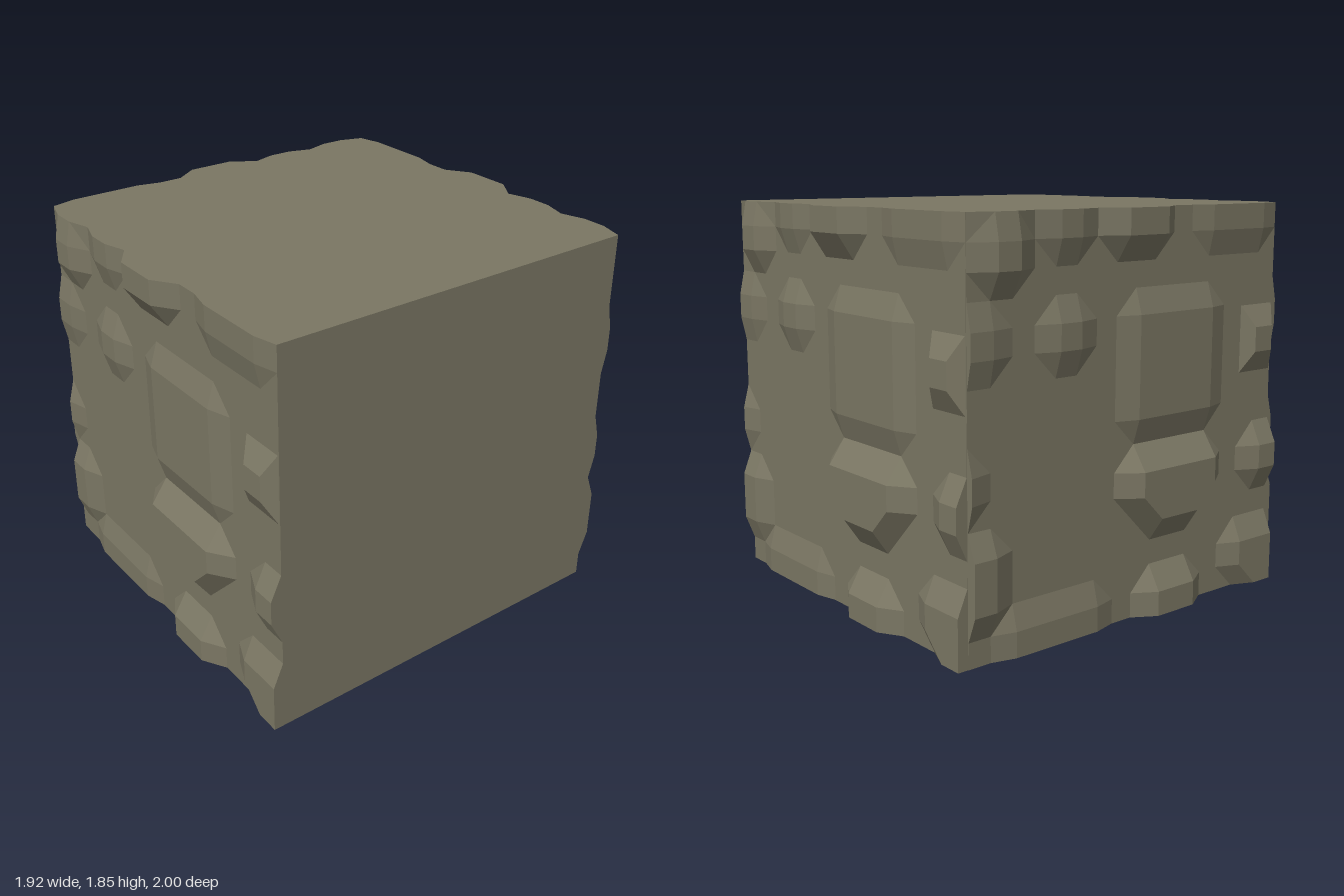
import * as THREE from 'three';

const W = 1.84, H = 1.85, N = 16;
const SX = W / N, SY = H / N;

// raised plateaus on the 16 x 16 grid: first column, last column, first row, last row, height
const BUMPS = [
  [1, 2, 14, 15, 0.058], [1, 2, 16, 16, 0.035],   // upper rim stones
  [4, 5, 15, 16, 0.035],
  [7, 9, 15, 16, 0.078],
  [12, 15, 15, 16, 0.027],
  [0, 1, 11, 12, 0.025], [4, 5, 11, 12, 0.036],   // middle stones
  [8, 12, 8, 12, 0.036],                          // broad slab
  [8, 12, 5, 6, 0.08], [9, 11, 4, 4, 0.08],       // large boulder
  [0, 0, 6, 7, 0.03], [0, 1, 2, 4, 0.045],
  [2, 6, 0, 1, 0.03], [9, 11, 0, 1, 0.068],       // lower rim stones
  [14, 16, 1, 2, 0.05], [15, 16, 0, 0, 0.05],
  [15, 16, 5, 6, 0.054],
];

function heightAt(i, j) {
  let h = 0;
  for (const [a, b, c, d, v] of BUMPS) {
    if (i >= a && i <= b && j >= c && j <= d) h = Math.max(h, v);
  }
  return h;
}

// rocky relief facing +z, with side skirts down to z = 0
function reliefGeometry() {
  const pos = [];
  const lift = 0.002;
  const top = (i, j) => [i * SX - W / 2, j * SY, heightAt(i, j) + lift];
  const foot = (i, j) => [i * SX - W / 2, j * SY, 0];
  const tri = (a, b, c) => pos.push(...a, ...b, ...c);
  const quad = (a, b, c, d) => { tri(a, b, c); tri(a, c, d); };
  for (let j = 0; j < N; j++) {
    for (let i = 0; i < N; i++) {
      const a = top(i, j), b = top(i + 1, j), c = top(i + 1, j + 1), d = top(i, j + 1);
      // split along the flatter diagonal so that corners are chamfered
      if (Math.abs(a[2] - c[2]) <= Math.abs(b[2] - d[2])) quad(a, b, c, d);
      else quad(b, c, d, a);
    }
  }
  for (let k = 0; k < N; k++) {
    quad(foot(k, 0), foot(k + 1, 0), top(k + 1, 0), top(k, 0));
    quad(top(k, N), top(k + 1, N), foot(k + 1, N), foot(k, N));
    quad(foot(0, k), top(0, k), top(0, k + 1), foot(0, k + 1));
    quad(top(N, k), foot(N, k), foot(N, k + 1), top(N, k + 1));
  }
  const g = new THREE.BufferGeometry();
  g.setAttribute('position', new THREE.Float32BufferAttribute(pos, 3));
  g.computeVertexNormals();
  return g;
}

// bevelled stone: a box with its outer face pulled in
function knobGeometry() {
  const g = new THREE.BoxGeometry(2 * SX, 3 * SY, 0.06).toNonIndexed();
  const p = g.attributes.position;
  for (let i = 0; i < p.count; i++) {
    if (p.getZ(i) > 0) p.setXY(i, p.getX(i) * 0.5, p.getY(i) * 0.34);
  }
  g.computeVertexNormals();
  return g;
}

export function createModel() {
  const stone = new THREE.MeshStandardMaterial({ color: 0x7a7663 });
  stone.name = 'stone';

  const model = new THREE.Group();
  model.name = 'rockBlock';
  const block = new THREE.Group();
  block.name = 'block';
  block.position.x = 0.0375;
  model.add(block);

  // plain core
  const core = new THREE.Mesh(new THREE.BoxGeometry(W, H, W), stone);
  core.name = 'core';
  core.position.y = H / 2;
  block.add(core);

  // the same rough face on the front, the -x side and the back
  const relief = reliefGeometry(), knob = knobGeometry();
  const faces = [['frontFace', 0], ['sideFace', -Math.PI / 2], ['backFace', Math.PI]];
  for (const [name, angle] of faces) {
    const face = new THREE.Group();
    face.name = name;
    face.rotation.y = angle;
    const rock = new THREE.Mesh(relief, stone);
    rock.name = 'rockRelief';
    rock.position.z = W / 2;
    const boss = new THREE.Mesh(knob, stone);
    boss.name = 'bevelledStone';
    boss.position.set(15 * SX - W / 2, 10.5 * SY, W / 2 + 0.025);
    face.add(rock, boss);
    block.add(face);
  }
  return model;
}
